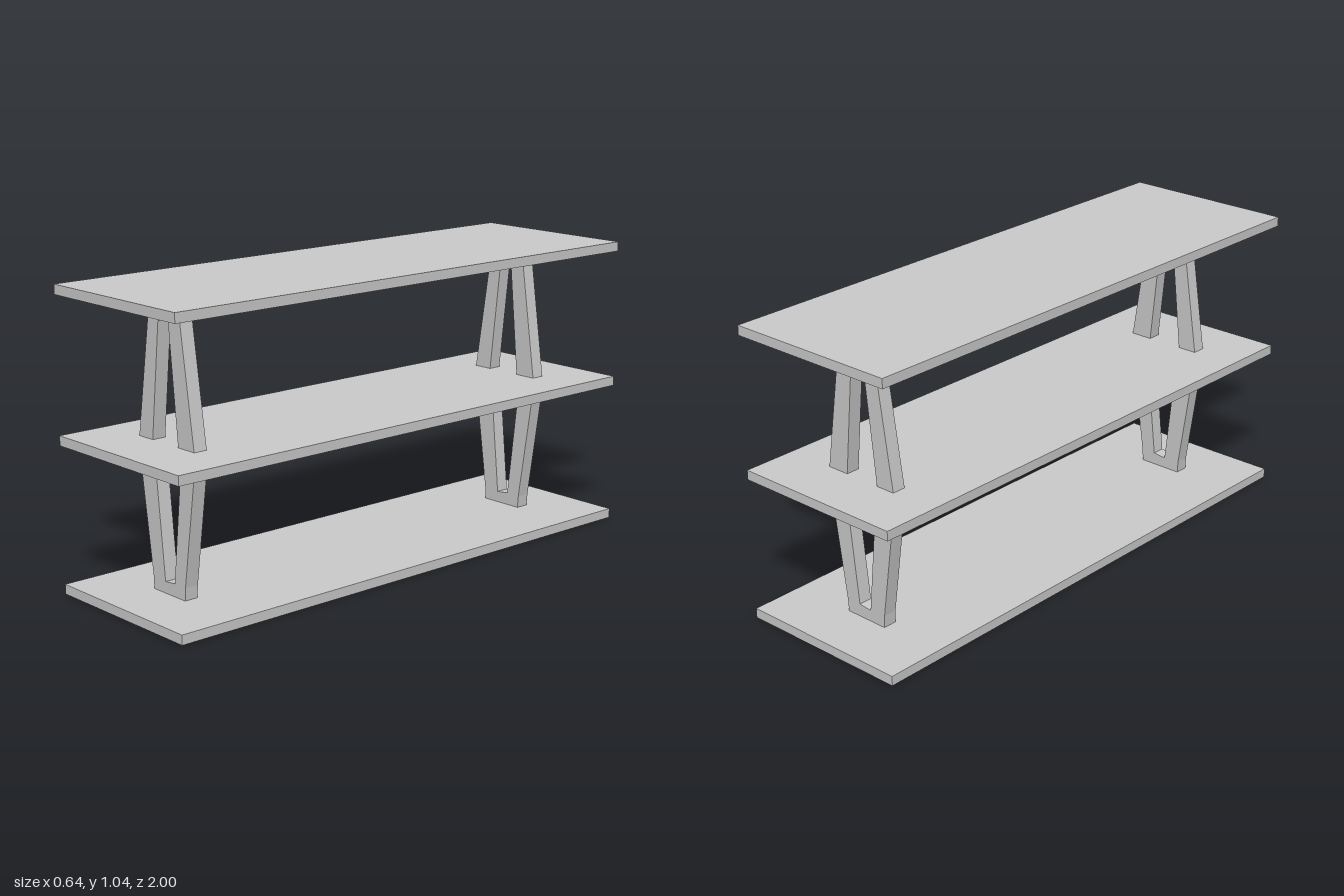
import * as THREE from 'three';

const SHELF = { width: 0.64, thickness: 0.034, length: 2 };
const SUPPORT_DEPTH = 0.05;
const SUPPORT_Z = 0.78;

// Slightly irregular, hand-cut outlines of the two forked supports (x, y)
const UPPER_FORK = [
  [-0.149, 0.543], [-0.076, 0.543], [-0.032, 0.941], [0.021, 0.949], [0.06, 0.543],
  [0.143, 0.543], [0.083, 0.947], [0.08, 1.009], [-0.084, 1.009], [-0.086, 0.947],
];
const LOWER_FORK = [
  [-0.088, 0.034], [0.079, 0.034], [0.082, 0.078], [0.147, 0.509], [0.074, 0.509],
  [0.025, 0.079], [-0.025, 0.074], [-0.069, 0.509], [-0.152, 0.509], [-0.09, 0.078],
];

export function createModel() {
  const model = new THREE.Group();
  model.name = 'shelfUnit';
  const material = new THREE.MeshStandardMaterial({ color: 0xcccccc, flatShading: true });

  const add = (name, geometry, y = 0, z = 0) => {
    const mesh = new THREE.Mesh(geometry, material);
    mesh.name = name;
    mesh.position.set(0, y, z);
    model.add(mesh);
  };

  // Three identical boards
  const board = new THREE.BoxGeometry(SHELF.width, SHELF.thickness, SHELF.length);
  const levels = { bottomShelf: 0, middleShelf: 0.509, topShelf: 1.009 };
  for (const [name, y] of Object.entries(levels)) add(name, board, y + SHELF.thickness / 2);

  // Forked supports near both ends, joined to the bottom and top boards
  for (const [name, outline] of [['LowerSupport', LOWER_FORK], ['UpperSupport', UPPER_FORK]]) {
    const shape = new THREE.Shape(outline.map(([x, y]) => new THREE.Vector2(x, y)));
    const fork = new THREE.ExtrudeGeometry(shape, { depth: SUPPORT_DEPTH, bevelEnabled: false });
    fork.translate(0, 0, -SUPPORT_DEPTH / 2);
    add('front' + name, fork, 0, SUPPORT_Z);
    add('back' + name, fork, 0, -SUPPORT_Z);
  }

  return model;
}
